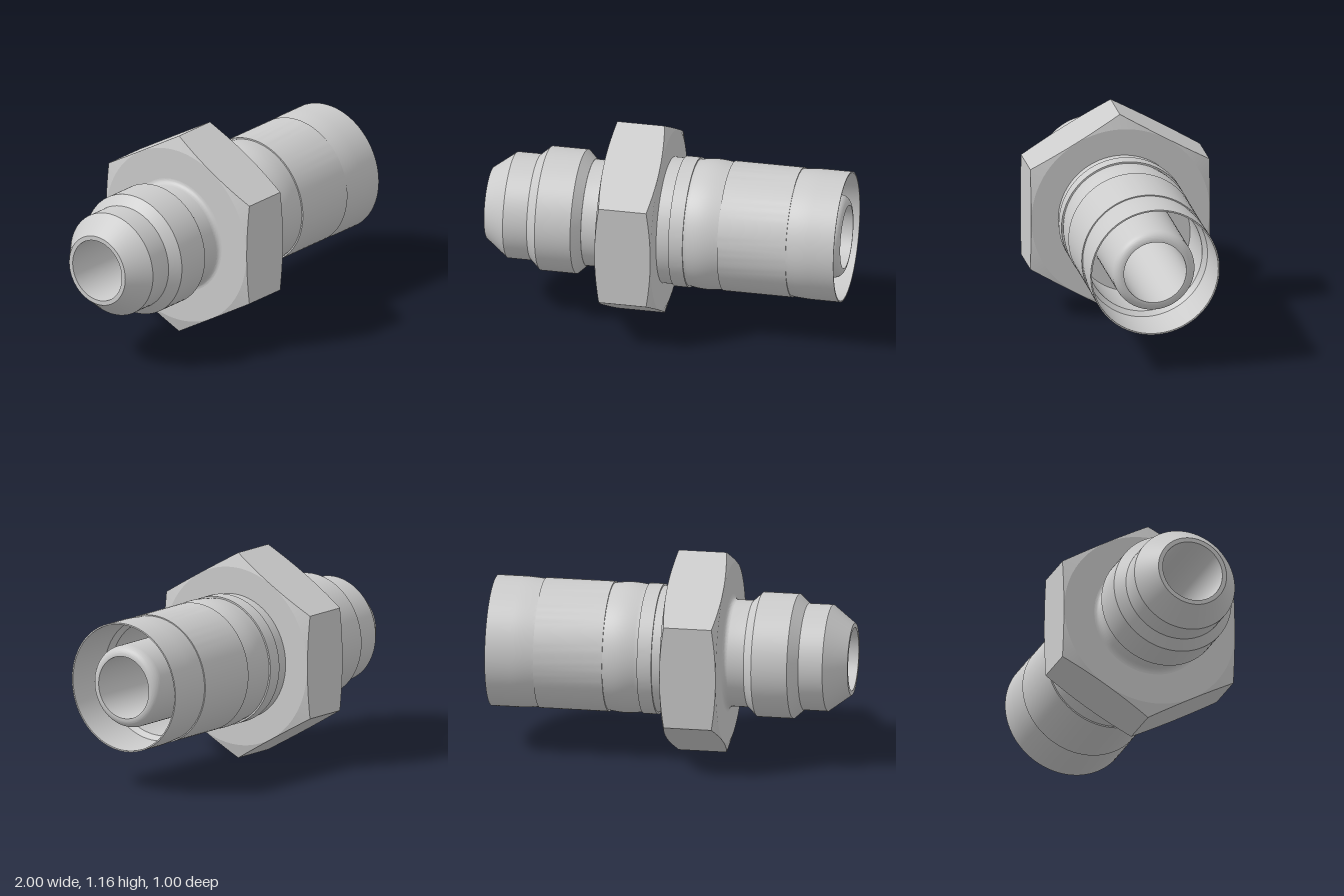
import * as THREE from 'three';
import { toCreasedNormals } from 'three/addons/utils/BufferGeometryUtils.js';

const SEGMENTS = 96;
const AXIS_HEIGHT = 0.58;
const BORE = 0.175;
const material = new THREE.MeshStandardMaterial({ color: 0xcccccc });

// Points are [position along x, radius]; outer surface runs towards +x.
function turned(points) {
  return new THREE.LatheGeometry(points.map(([x, r]) => new THREE.Vector2(r, x)), SEGMENTS);
}

function part(name, geometry) {
  geometry.rotateZ(-Math.PI / 2);
  const mesh = new THREE.Mesh(toCreasedNormals(geometry, 0.2), material);
  mesh.name = name;
  return mesh;
}

// Samples a quarter ellipse or other smooth run of a profile.
function sweep(steps, fn) {
  return Array.from({ length: steps + 1 }, (_, i) => fn(i / steps));
}

// Flared nose, threaded band, neck and the hollow inner tube
function createBody() {
  const neckFillet = sweep(8, t => {
    const a = t * Math.PI / 2;
    return [-0.345 + 0.03 * Math.sin(a), 0.325 - 0.03 * Math.cos(a)];
  });
  const tubeLip = sweep(14, t => {
    const a = t * Math.PI / 2;
    return [0.945 + 0.055 * Math.sin(a), 0.178 + 0.052 * Math.cos(a)];
  });
  return part('body', turned([
    [-1, BORE], [-1, 0.2], [-0.875, 0.295], [-0.74, 0.295],
    [-0.685, 0.345], [-0.485, 0.345], [-0.435, 0.297], [-0.435, 0.295],
    ...neckFillet, [-0.25, 0.325], [-0.25, 0.23],
    ...tubeLip, [1, BORE], [-1, BORE],
  ]));
}

// Hexagon with conical chamfers that meet the end faces in a circle
function createHexNut() {
  const x0 = -0.315, x1 = 0, inner = 0.3, faceRadius = 0.5, apothem = 0.502;
  const geometry = turned([
    [x0, inner], [x0, faceRadius], [x0, 0.58], [x1, 0.58], [x1, faceRadius], [x1, inner],
  ]);
  const pos = geometry.attributes.position;
  for (let i = 0; i < pos.count; i++) {
    const x = pos.getX(i), y = pos.getY(i), z = pos.getZ(i);
    if (Math.hypot(x, z) < 0.55) continue;
    const phi = Math.atan2(x, z);
    const local = phi - Math.round(phi / (Math.PI / 3)) * Math.PI / 3;
    const r = apothem / Math.cos(local);
    const inset = (r - faceRadius) * 0.3;
    pos.setXYZ(i, r * Math.sin(phi), y < -0.15 ? x0 + inset : x1 - inset, r * Math.cos(phi));
  }
  return part('hexNut', geometry);
}

// Crimp sleeve around the inner tube, open at the far end
function createSleeve() {
  const bulge = sweep(12, t => [0.155 + 0.19 * t, 0.352 + 0.01 * Math.sin(t * Math.PI)]);
  const flare = sweep(8, t => [0.73 + 0.13 * t, 0.354 + 0.008 * Math.sin(t * Math.PI / 2)]);
  return part('sleeve', turned([
    [-0.02, 0.22], [-0.02, 0.35], [0.07, 0.35], [0.07, 0.361], [0.15, 0.361], [0.15, 0.352],
    ...bulge, [0.345, 0.36], [0.73, 0.36],
    ...flare, [1, 0.362],
    [1, 0.354], [0.86, 0.352], [0.73, 0.346], [0.7, 0.322], [0.35, 0.322], [0.35, 0.22],
    [-0.02, 0.22],
  ]));
}

export function createModel() {
  const group = new THREE.Group();
  group.name = 'hoseFitting';
  group.add(createBody(), createHexNut(), createSleeve());
  group.position.y = AXIS_HEIGHT;
  const model = new THREE.Group();
  model.add(group);
  return model;
}
